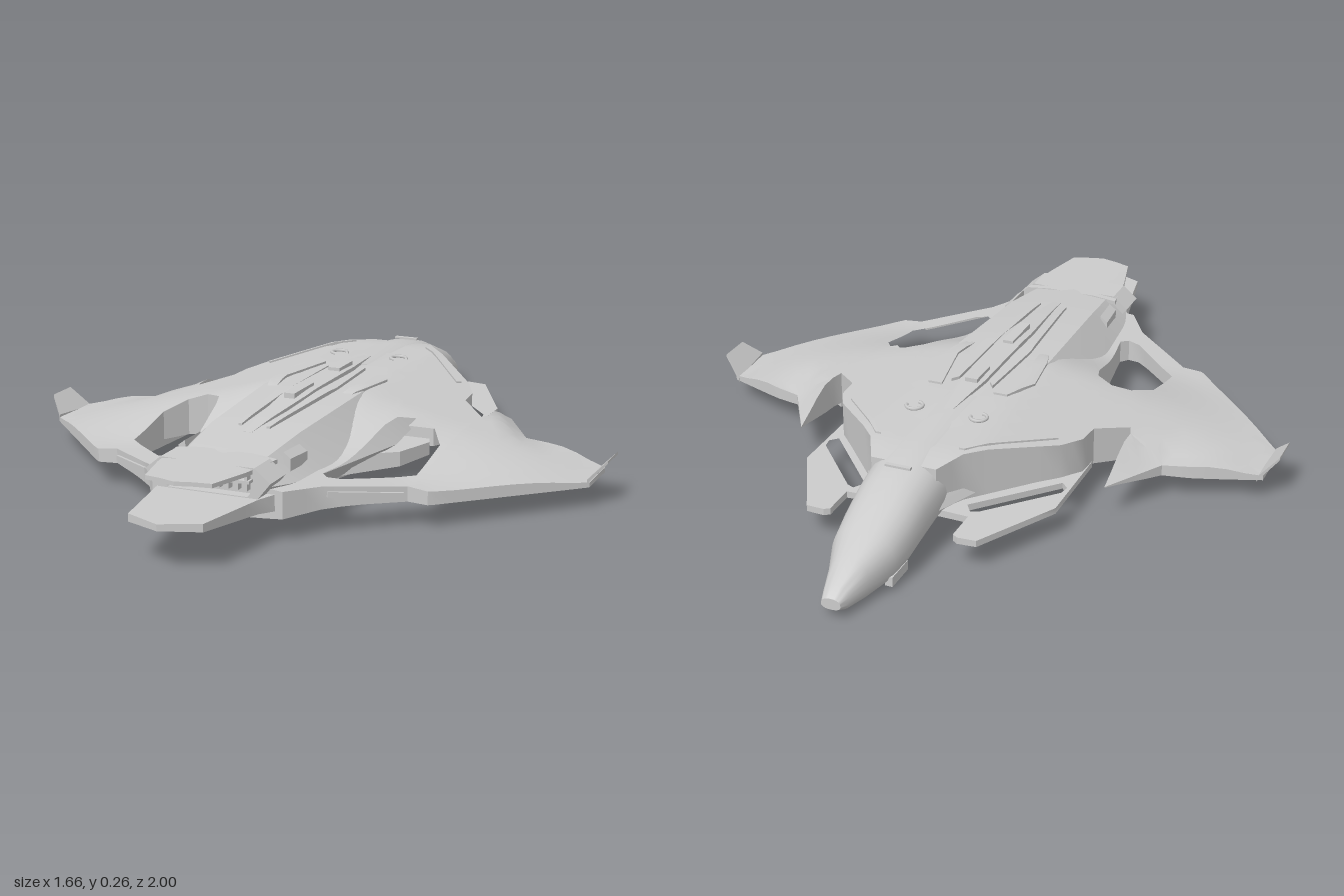
import * as THREE from 'three';
import { toCreasedNormals } from 'three/addons/utils/BufferGeometryUtils.js';

const { clamp, lerp, smoothstep } = THREE.MathUtils;
const grey = new THREE.MeshStandardMaterial({ color: 0xcccccc });

// Piecewise linear lookup through [key, value] pairs
function along(pairs, k) {
  if (k <= pairs[0][0]) return pairs[0][1];
  for (let i = 1; i < pairs.length; i++) {
    const [k0, v0] = pairs[i - 1], [k1, v1] = pairs[i];
    if (k <= k1) return lerp(v0, v1, (k - k0) / (k1 - k0));
  }
  return pairs[pairs.length - 1][1];
}

const spine = [[-1, 0.06], [-0.9, 0.115], [-0.8, 0.155], [-0.65, 0.212], [-0.5, 0.235], [-0.2, 0.243],
  [0.15, 0.245], [0.4, 0.232], [0.7, 0.2], [0.9, 0.195]];
const leadingEdge = [[0.43, -0.31], [0.54, -0.13], [0.78, -0.04]];

// Height of the upper and lower skin of the wing and shoulder deck
function skinTop(x, z) {
  const ax = Math.abs(x);
  const crown = Math.min(along(spine, z) - 0.004, 0.235 - 0.258 * (ax - 0.15));
  const rear = Math.min(crown, 0.14 - 0.108 * (ax - 0.15));
  let y = lerp(crown, rear, smoothstep(z, 0.05, 0.42));
  if (ax > 0.42) {
    const t = clamp((z - along(leadingEdge, ax)) / 0.13, 0, 1);
    y = lerp(Math.min(y, 0.1), y, t);
  }
  return Math.max(y, 0.073);
}
function skinBottom(x, z) {
  const wing = along([[0.1, 0.06], [0.3, 0.075], [0.45, 0.07], [0.78, 0.06]], Math.abs(x));
  return lerp(0.1, wing, smoothstep(z, -0.35, -0.08));
}

// Plate from a plan outline of [x, z], split finely and bent between two height rules
function slab(outline, bottom, top, { side = 1, holes = [], limit = 0.07 } = {}) {
  const points = list => list.map(([x, z]) => new THREE.Vector2(x * side, -z));
  const shape = new THREE.Shape(points(outline));
  holes.forEach(h => shape.holes.push(new THREE.Path(points(h))));
  const flat = new THREE.ExtrudeGeometry(shape, { depth: 1, bevelEnabled: false }).rotateX(-Math.PI / 2).toNonIndexed?.();
  const p = flat.attributes.position, out = [];
  const span = (a, b) => Math.hypot(a.x - b.x, a.z - b.z);
  const put = (a, b, c) => {
    const e = [span(a, b), span(b, c), span(c, a)], m = Math.max(...e);
    if (m > limit) {
      const [u, v, w] = m === e[0] ? [a, b, c] : m === e[1] ? [b, c, a] : [c, a, b];
      const mid = u.clone().add(v).multiplyScalar(0.5);
      put(u, mid, w);
      put(mid, v, w);
    } else {
      for (const q of [a, b, c]) out.push(q.x, lerp(bottom(q.x, q.z), top(q.x, q.z), q.y), q.z);
    }
  };
  const at = i => new THREE.Vector3().fromBufferAttribute(p, i);
  for (let i = 0; i < p.count; i += 3) put(at(i), at(i + 1), at(i + 2));
  const g = new THREE.BufferGeometry();
  g.setAttribute('position', new THREE.Float32BufferAttribute(out, 3));
  return toCreasedNormals(g, 0.5);
}

// Closed skin over rings of [x, y], each ring at its own z
function loft(sections, crease = 0.6) {
  const out = [];
  const n = sections[0].ring.length;
  const v = (i, j) => [...sections[i].ring[j % n], sections[i].z];
  for (let i = 0; i < sections.length - 1; i++) {
    for (let j = 0; j < n; j++) {
      const a = v(i, j), b = v(i, j + 1), c = v(i + 1, j + 1), d = v(i + 1, j);
      out.push(...a, ...b, ...c, ...a, ...c, ...d);
    }
  }
  const last = sections.length - 1;
  for (let j = 1; j < n - 1; j++) {
    out.push(...v(0, 0), ...v(0, j + 1), ...v(0, j));
    out.push(...v(last, 0), ...v(last, j), ...v(last, j + 1));
  }
  const g = new THREE.BufferGeometry();
  g.setAttribute('position', new THREE.Float32BufferAttribute(out, 3));
  return toCreasedNormals(g, crease);
}

export function createModel() {
  const model = new THREE.Group();
  const add = (name, geometry, x = 0, y = 0, z = 0) => {
    const mesh = new THREE.Mesh(geometry, grey);
    mesh.name = name;
    mesh.position.set(x, y, z);
    model.add(mesh);
    return mesh;
  };
  const box = (w, h, d) => new THREE.BoxGeometry(w, h, d);
  const level = y => () => y;

  // Rounded nose with its widest line set low: z, half width, top, bottom
  const nose = [[-1, 0.026, 0.06, 0.03], [-0.97, 0.036, 0.08, 0.015], [-0.9, 0.056, 0.115, 0.005],
    [-0.82, 0.086, 0.15, 0.008], [-0.74, 0.096, 0.18, 0.018], [-0.66, 0.1, 0.21, 0.035],
    [-0.58, 0.105, 0.226, 0.055], [-0.48, 0.11, 0.237, 0.06], [-0.2, 0.11, 0.243, 0.06]];
  add('nose', loft(nose.map(([z, w, top, bot]) => {
    const mid = lerp(bot, top, 0.42);
    return { z, ring: Array.from({ length: 24 }, (_, j) => {
      const a = j / 24 * Math.PI * 2, c = Math.cos(a), s = Math.sin(a);
      return [w * Math.sign(c) * Math.abs(c) ** 0.8, mid + (s > 0 ? top - mid : mid - bot) * Math.sign(s) * Math.abs(s) ** 0.85];
    }) };
  }), 0.9));

  // Faceted core hull: z, roof half width, roof y, side half width, side y, floor half width, floor y
  const core = [[-0.6, 0.05, 0.2, 0.1, 0.11, 0.06, 0.06], [-0.36, 0.12, 0.232, 0.2, 0.115, 0.11, 0.045],
    [0.1, 0.14, 0.238, 0.25, 0.11, 0.14, 0.035], [0.45, 0.125, 0.222, 0.2, 0.125, 0.12, 0.045],
    [0.62, 0.11, 0.2, 0.175, 0.14, 0.1, 0.075], [0.7, 0.1, 0.195, 0.15, 0.15, 0.09, 0.09]];
  add('coreHull', loft(core.map(([z, wt, yt, wm, ym, wb, yb]) => ({ z, ring: [
    [wm, ym], [wt, yt], [0, along(spine, z)], [-wt, yt], [-wm, ym], [-wb, yb], [0, yb - 0.005], [wb, yb]] })), 0.3));

  // Belly pan, rising towards the rear
  add('bellyPan', slab([[-0.06, -0.4], [0.06, -0.4], [0.13, -0.3], [0.14, 0.1], [0.09, 0.46], [-0.09, 0.46], [-0.14, 0.1], [-0.13, -0.3]],
    (x, z) => along([[-0.4, 0.022], [0.1, 0.022], [0.46, 0.042]], z), level(0.07)));

  // Tail: lower blade, upper cover and the open exhaust between them
  add('tailBlade', slab([[-0.19, 0.6], [0.19, 0.6], [0.14, 0.73], [0.1, 0.95], [0, 0.995], [-0.1, 0.95], [-0.14, 0.73]],
    (x, z) => along([[0.6, 0.075], [0.75, 0.092], [1, 0.11]], z), level(0.127)));
  add('tailCover', slab([[-0.14, 0.62], [0.14, 0.62], [0.12, 0.76], [0.09, 0.88], [0, 0.905], [-0.09, 0.88], [-0.12, 0.76]],
    x => 0.195 - 0.1 * Math.max(0, Math.abs(x) - 0.07), x => 0.206 - 0.1 * Math.max(0, Math.abs(x) - 0.07)));
  const hex = (k, T) => new T([[0.18, 0.17], [0.135, 0.207], [-0.135, 0.207], [-0.18, 0.17], [-0.14, 0.12], [0.14, 0.12]]
    .map(([x, y]) => new THREE.Vector2(x * k, 0.163 + (y - 0.163) * k)));
  const frame = hex(0.95, THREE.Shape);
  frame.holes.push(hex(0.78, THREE.Path));
  add('exhaustFrame', new THREE.ExtrudeGeometry(frame, { depth: 0.09, bevelEnabled: false }), 0, 0, 0.64);
  for (let i = -4; i <= 4; i++) add('exhaustVane', box(0.008, 0.045, 0.03), i * 0.025, 0.163, 0.705);
  add('exhaustBar', box(0.22, 0.008, 0.035), 0, 0.163, 0.705);

  // Dorsal spine, raised blocks and hatch
  add('dorsalSpine', slab([[-0.012, -0.3], [0.012, -0.3], [0.032, -0.12], [0.035, 0.2], [0.012, 0.5], [-0.012, 0.5], [-0.035, 0.2], [-0.032, -0.12]],
    level(0.2), (x, z) => along(spine, z) + along([[-0.3, 0], [-0.1, 0.008], [0.2, 0.008], [0.5, 0]], z)));
  add('spineBlock', box(0.03, 0.02, 0.13), 0, 0.251, 0.18);
  add('spineBlock', box(0.035, 0.02, 0.09), 0, 0.251, -0.1);
  add('canopyBand', box(0.07, 0.006, 0.012), 0, 0.224, -0.61);

  for (const side of [1, -1]) {
    const half = { side };
    // Wing and shoulder deck in one skin, with the cut-out behind the root
    add('wing', slab([[0, -0.58], [0.09, -0.58], [0.13, -0.5], [0.315, -0.29], [0.35, -0.22], [0.355, -0.15], [0.43, -0.07],
      [0.44, -0.1], [0.44, -0.3], [0.54, -0.13], [0.61, -0.11], [0.79, -0.035], [0.79, 0.11],
      [0.485, 0.43], [0.47, 0.443], [0.415, 0.44], [0.24, 0.585], [0.18, 0.68], [0, 0.68]],
      skinBottom, skinTop, { side, holes: [[[0.25, 0.18], [0.265, 0.13], [0.315, 0.1], [0.365, 0.12], [0.407, 0.19], [0.407, 0.36],
        [0.26, 0.5], [0.225, 0.51], [0.205, 0.49]]] }));

    // Upturned wing tip
    add('wingTip', slab([[0.775, -0.045], [0.828, -0.02], [0.828, 0.075], [0.785, 0.115]],
      x => 0.058 + 1.15 * (Math.abs(x) - 0.775), x => 0.071 + 1.05 * (Math.abs(x) - 0.775), half));

    // Forward plate with its slanted slot
    add('forwardPlate', slab([[0.08, -0.565], [0.17, -0.565], [0.17, -0.66], [0.185, -0.67], [0.235, -0.665], [0.355, -0.43], [0.355, -0.16],
      [0.3, -0.08], [0.08, -0.08]], x => 0.078 - 0.02 * Math.abs(x),
      x => 0.098 - 0.03 * Math.abs(x),
      { side, holes: [[[0.145, -0.51], [0.165, -0.54], [0.185, -0.53], [0.34, -0.35], [0.345, -0.32], [0.325, -0.3]]] }));

    // Shoulder closing the deck onto the plate, set back as an intake
    add('intakeBody', slab([[0.08, -0.52], [0.12, -0.47], [0.295, -0.27], [0.345, -0.2], [0.345, -0.14], [0.3, -0.05], [0.08, -0.05]],
      level(0.07), level(0.12), half));

    // Underwing pod and keel step
    add('underwingPod', slab([[0.4, 0.0], [0.44, -0.06], [0.56, 0.02], [0.56, 0.2], [0.44, 0.32], [0.42, 0.3]],
      level(0.05), level(0.08), half));
    add('rootFairing', slab([[0.1, -0.3], [0.23, -0.2], [0.3, -0.02], [0.26, 0.1], [0.12, 0.2]],
      x => 0.03 + 0.12 * (Math.abs(x) - 0.1), level(0.09), half));

    // Raised panels beside the spine
    add('dorsalPanel', slab([[0.075, -0.17], [0.115, -0.17], [0.155, -0.07], [0.14, 0.06], [0.1, 0.2], [0.085, 0.2], [0.11, 0.02]],
      level(0.2), (x, z) => skinTop(x, z) + 0.006, half));
    add('dorsalRail', slab([[0.045, -0.12], [0.06, -0.14], [0.075, 0.1], [0.045, 0.46], [0.035, 0.46]],
      level(0.2), (x, z) => along(spine, z) + 0.004, half));
    add('rearHatch', slab([[0.14, 0.49], [0.162, 0.49], [0.157, 0.58], [0.137, 0.58]],
      level(0.14), x => 0.215 - 0.75 * (Math.abs(x) - 0.125), half));
    add('shoulderRib', slab([[0.11, -0.48], [0.125, -0.48], [0.3, -0.27], [0.29, -0.255]],
      level(0.15), (x, z) => skinTop(x, z) + 0.005, half));

    // Tie-down hook, chin sensor, and trailing-edge strip
    const hook = add('deckHook', new THREE.TorusGeometry(0.022, 0.005, 6, 20, 4.6), 0.092 * side, 0.239, -0.31);
    hook.rotation.x = -Math.PI / 2;
    add('chinSensor', box(0.02, 0.026, 0.09), 0.075 * side, 0.032, -0.79);
    const strip = add('trailingStrip', box(0.2, 0.014, 0.012), 0.33 * side, 0.1, 0.512);
    strip.rotation.set(0, 0.69 * side, -0.1 * side);
  }
  return model;
}
